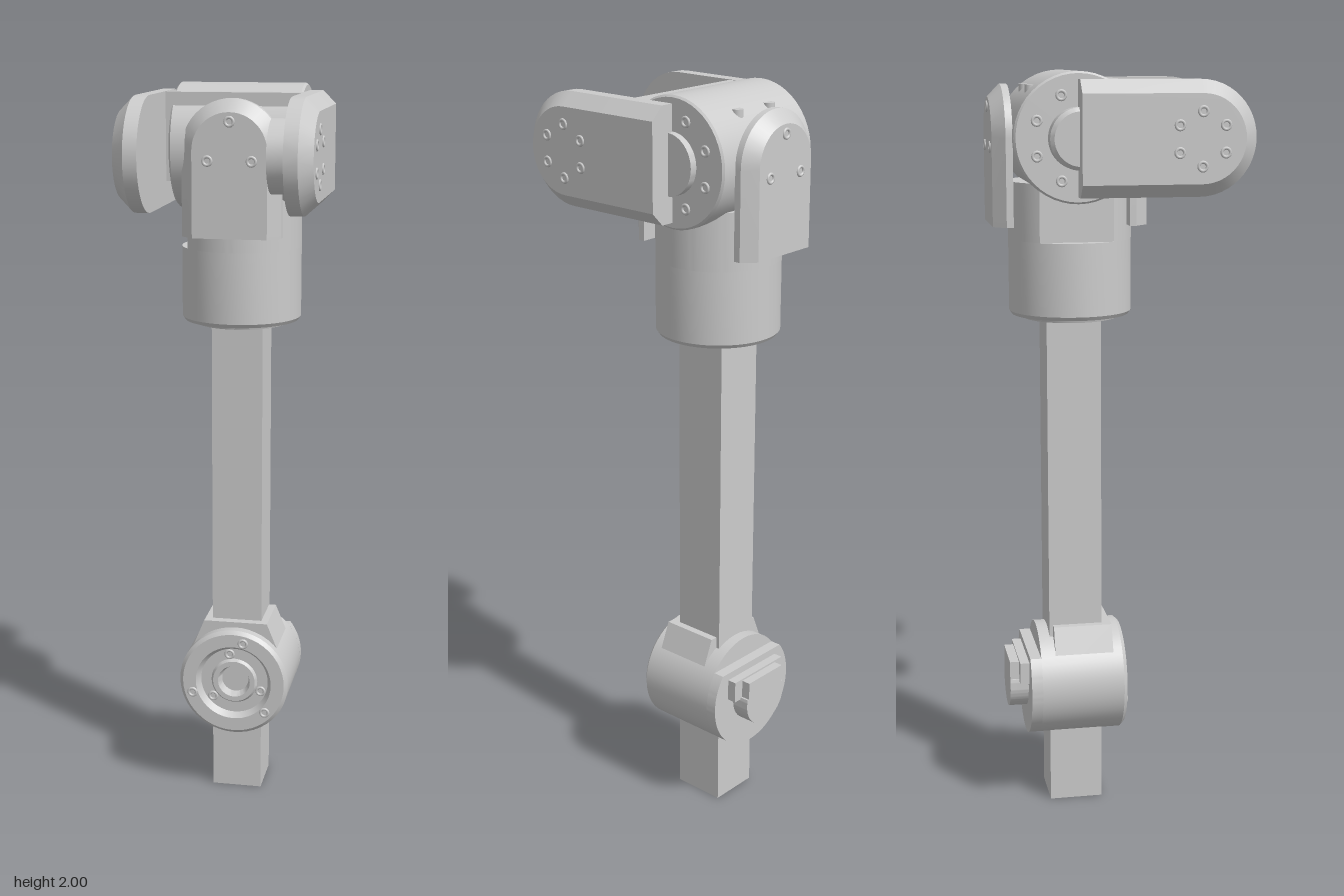
import * as THREE from 'three';
import { ConvexGeometry } from 'three/addons/geometries/ConvexGeometry.js';
import { toCreasedNormals } from 'three/addons/utils/BufferGeometryUtils.js';

const AXIS_Z = -0.117; // column axis
const HEAD_Y = 1.835; // pivot height

export function createModel() {
  const model = new THREE.Group();
  const material = new THREE.MeshStandardMaterial({ color: 0xcccccc });

  const add = (name, geometry, x = 0, y = 0, z = 0) => {
    const mesh = new THREE.Mesh(geometry, material);
    mesh.name = name;
    mesh.position.set(x, y, z);
    model.add(mesh);
    return mesh;
  };
  const box = (name, x0, x1, y0, y1, z0, z1) =>
    add(name, new THREE.BoxGeometry(x1 - x0, y1 - y0, z1 - z0), (x0 + x1) / 2, (y0 + y1) / 2, (z0 + z1) / 2);
  const lathe = (points) =>
    toCreasedNormals(new THREE.LatheGeometry(points.map(([r, h]) => new THREE.Vector2(r, h)), 48), 0.6);
  // convex plate: half-round end at a = 0, straight tail at a = tail; layers are [depth, inset]
  const roundedPlate = (radius, tail, layers, place) => {
    const points = [];
    for (const [depth, inset] of layers) {
      const r = radius - inset;
      for (let i = 0; i <= 24; i++) {
        const t = -Math.PI / 2 + (Math.PI * i) / 24;
        points.push(place(r * Math.cos(t), r * Math.sin(t), depth));
      }
      points.push(place(tail, -r, depth), place(tail, r, depth));
    }
    return toCreasedNormals(new ConvexGeometry(points), 0.5);
  };
  // disc with one side cut straight along y = cut, extruded along z
  const cutDisc = (radius, cut, depth) => {
    const a = Math.asin(cut / radius);
    const shape = new THREE.Shape();
    shape.absarc(0, 0, radius, Math.PI - a, Math.PI * 2 + a, false);
    shape.closePath();
    return toCreasedNormals(
      new THREE.ExtrudeGeometry(shape, { depth, bevelEnabled: false, curveSegments: 40 }), 0.6);
  };
  // screw collar facing along z or x
  const screw = (x, y, z, alongX = false) => {
    const ring = new THREE.TorusGeometry(0.011, 0.004, 8, 16);
    if (alongX) ring.rotateY(Math.PI / 2);
    add('screwCollar', ring, x, y, z);
  };

  // square column
  box('column', -0.07, 0.07, 0, 1.4, -0.19, -0.045);

  // lower joint: drum with a recessed ring and hub on its front face
  const drum = lathe([
    [0, -0.22], [0.155, -0.22], [0.155, 0.005], [0.145, 0.015], [0.108, 0.015], [0.096, -0.005],
    [0.066, -0.005], [0.06, 0.004], [0.046, 0.004], [0.038, -0.02], [0, -0.02],
  ]).rotateX(Math.PI / 2);
  add('lowerJointDrum', drum, 0, 0.345, 0);
  for (let i = 0; i < 3; i++) {
    const t = THREE.MathUtils.degToRad(77 + 120 * i);
    screw(0.123 * Math.cos(t), 0.345 + 0.123 * Math.sin(t), 0.015);
    screw(0.08 * Math.cos(t + 0.4), 0.345 + 0.08 * Math.sin(t + 0.4), -0.005);
  }
  const collar = new THREE.Shape([[-0.145, 0.38], [0.145, 0.38], [0.09, 0.515], [-0.09, 0.515]]
    .map(([x, y]) => new THREE.Vector2(x, y)));
  add('columnCollar', new THREE.ExtrudeGeometry(collar, { depth: 0.16, bevelEnabled: false }), 0, 0, -0.18);
  add('lowerJointBack', cutDisc(0.155, 0.095, 0.03), 0, 0.345, -0.25);
  add('backKnob', cutDisc(0.078, 0.02, 0.05), 0, 0.345, -0.3);
  box('backClampBar', -0.1, 0.1, 0.36, 0.42, -0.275, -0.25);
  box('backClampLip', -0.07, 0.07, 0.355, 0.415, -0.3, -0.275);

  // wrist drum above the column
  add('wristDrum', lathe([
    [0, 1.36], [0.085, 1.36], [0.125, 1.36], [0.128, 1.37], [0.155, 1.37], [0.162, 1.38], [0.162, 1.57], [0, 1.57],
  ]), 0, 0, AXIS_Z);
  // flat-sided neck: the cut faces -x
  const neck = cutDisc(0.162, 0.13, 0.15).rotateX(-Math.PI / 2).rotateY(Math.PI / 2);
  add('neck', neck, 0, 1.57, AXIS_Z);

  // head: cylinder lying across the column
  const head = lathe([[0, -0.165], [0.16, -0.165], [0.165, -0.16], [0.165, 0.17], [0.16, 0.175], [0, 0.175]])
    .rotateZ(-Math.PI / 2);
  add('headDrum', head, 0, HEAD_Y, AXIS_Z);
  add('rightHub', lathe([[0, 0], [0.078, 0], [0.078, 0.04], [0.068, 0.048], [0, 0.048]]).rotateZ(Math.PI / 2),
    -0.163, HEAD_Y, AXIS_Z);
  add('leftHub', lathe([[0, 0], [0.078, 0], [0.078, 0.025], [0, 0.025]]).rotateZ(-Math.PI / 2),
    0.17, HEAD_Y, AXIS_Z);
  for (let i = 0; i < 8; i++) {
    const t = (Math.PI * (i + 0.5)) / 4;
    for (const x of [-0.166, 0.176])
      screw(x, HEAD_Y + 0.115 * Math.sin(t), AXIS_Z + 0.115 * Math.cos(t), true);
  }
  for (const x of [-0.06, 0.06]) {
    add('topScrew', new THREE.CylinderGeometry(0.015, 0.015, 0.04, 20), x, 1.945, -0.225);
  }

  // arched cover plates on the front and back of the head
  const cover = (name, z, dir) => add(name, roundedPlate(0.132, -0.225,
    [[0, 0], [0.018, 0], [0.05, 0.033]],
    (a, b, d) => new THREE.Vector3(b, a, d * dir)), 0, HEAD_Y, z);
  cover('frontCover', 0.02, 1);
  cover('backCover', -0.28, -1);
  for (const [x, y] of [[0, 1.91], [-0.058, 1.81], [0.058, 1.81]]) {
    screw(x, y, 0.07);
    screw(x, y, -0.33);
  }

  // fork: two chamfered arms joined by a bridge over the head
  for (const side of [1, -1]) {
    add(side > 0 ? 'leftArm' : 'rightArm', roundedPlate(0.146, -0.305,
      [[0.18, 0], [0.216, 0], [0.25, 0.034]],
      (a, b, d) => new THREE.Vector3(d * side, b, a)), 0, HEAD_Y, 0.184);
    for (let i = 0; i < 6; i++) {
      const t = (Math.PI * (i + 0.5)) / 3;
      screw(0.25 * side, HEAD_Y + 0.068 * Math.sin(t), 0.184 + 0.068 * Math.cos(t), true);
    }
  }
  box('forkBridge', -0.182, 0.182, 1.75, 1.98, -0.05, 0.005);
  add('armBearing', lathe([[0, 0], [0.093, 0], [0.093, 0.055], [0, 0.055]]).rotateZ(-Math.PI / 2),
    0.13, HEAD_Y, 0.182);

  return model;
}
